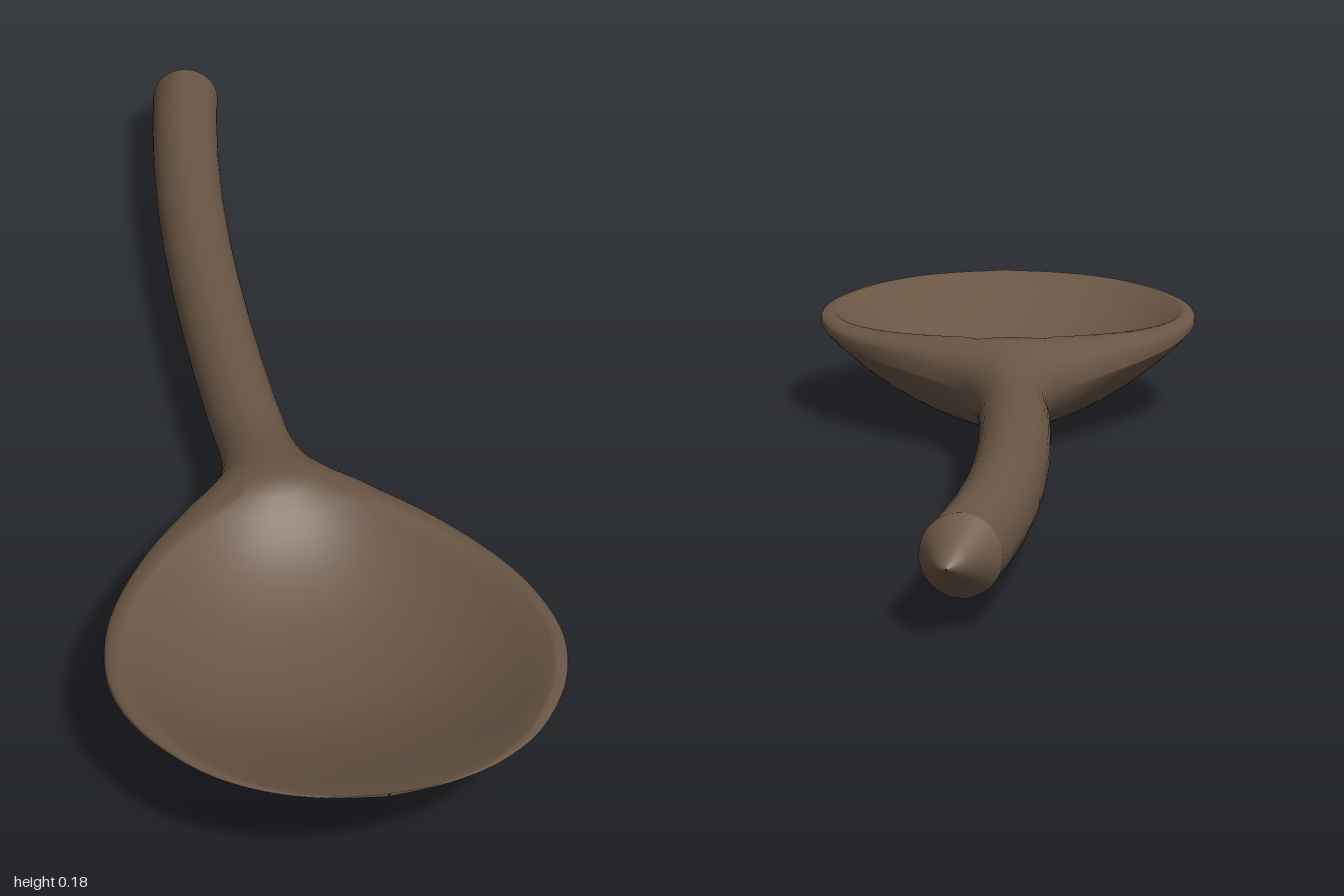
import * as THREE from 'three';

// Stations from handle to bowl front: z, half width, top y, bottom y, dish depth
const BODY = [
  [-0.92, 0.053, 0.152, 0.042, 0],
  [-0.45, 0.053, 0.152, 0.042, 0],
  [0.00, 0.053, 0.152, 0.042, 0],
  [0.12, 0.055, 0.153, 0.042, 0],
  [0.20, 0.071, 0.164, 0.038, 0],
  [0.25, 0.101, 0.172, 0.033, 0],
  [0.30, 0.143, 0.175, 0.026, 0],
  [0.40, 0.217, 0.173, 0.012, 0.065],
  [0.50, 0.272, 0.171, 0.005, 0.102],
  [0.60, 0.303, 0.170, 0.007, 0.115],
  [0.70, 0.309, 0.171, 0.026, 0.108],
  [0.80, 0.284, 0.173, 0.063, 0.080],
  [0.90, 0.224, 0.176, 0.118, 0.040],
  [0.96, 0.152, 0.178, 0.152, 0.014],
  [0.99, 0.078, 0.179, 0.169, 0.003],
  [1.00, 0.001, 0.180, 0.175, 0],
];

// Pointed handle end
const TIP = [
  [-1.00, 0.001, 0.098, 0.096, 0],
  [-0.992, 0.014, 0.106, 0.088, 0],
  [-0.97, 0.027, 0.121, 0.073, 0],
  BODY[0],
];

// Smooth in-between stations
function refine(rows, steps) {
  const out = [];
  for (let i = 0; i < rows.length - 1; i++) {
    const a = rows[Math.max(i - 1, 0)], b = rows[i], c = rows[i + 1], d = rows[Math.min(i + 2, rows.length - 1)];
    for (let s = 0; s < steps; s++) {
      const t = s / steps;
      out.push(b.map((v, k) => v + 0.5 * t * (c[k] - a[k] +
        t * (2 * a[k] - 5 * v + 4 * c[k] - d[k] + t * (3 * (v - c[k]) + d[k] - a[k])))));
    }
  }
  out.push(rows[rows.length - 1]);
  return out;
}

// One closed section: rim, dish, rim, underside
function section([z, w, top, bottom, depth]) {
  const RIM = 6, DISH = 20, UNDER = 28, pts = [];
  // the handle bends sideways toward its end
  const bend = Math.max(0, (0.1 - z) / 1.02);
  const cx = 0.08 * bend ** 2.6 - 0.002 * Math.min(1, bend * 10);
  const tilt = z < -0.99 ? 0 : 0.2 * bend ** 1.6;
  // the widest line climbs toward the bowl front
  const edge = 0.097 + 0.08 * Math.max(0, (z - 0.1) / 0.9);
  // round handle section turning into a wide bowl section
  const bowl = THREE.MathUtils.smoothstep(z, 0.13, 0.4);
  // the dish starts as a rounded tip behind the bowl
  const back = THREE.MathUtils.clamp((z - 0.3) / 0.7, 0, 1);
  const wi = w * Math.max(0.4, 0.93 * Math.sqrt(1 - (1 - back) ** 6));
  const inner = Math.acos(wi / w);

  const add = (x, y) => pts.push([cx + x, y, z + tilt * x]);
  const upper = (x) => {
    const s = Math.sqrt(Math.max(0, 1 - (x / w) ** 2));
    const sink = Math.max(0, depth) * Math.max(0, 1 - Math.abs(x / wi) ** 2.2);
    add(x, edge + (top - edge) * s ** (1 - 0.5 * bowl) - sink);
  };
  for (let i = 0; i < RIM; i++) upper(w * Math.cos(inner * i / RIM));
  for (let i = 0; i <= DISH; i++) upper(wi * (1 - 2 * i / DISH));
  for (let i = RIM - 1; i >= 0; i--) upper(-w * Math.cos(inner * i / RIM));
  for (let i = 1; i < UNDER; i++) {
    const a = Math.PI * i / UNDER;
    add(-w * Math.cos(a), edge - (edge - bottom) * Math.sin(a) ** (1 + 0.86 * bowl));
  }
  return pts;
}

// Skin a run of sections
function loft(rows) {
  const rings = rows.map(section), n = rings[0].length, index = [];
  for (let i = 0; i < rings.length - 1; i++) {
    for (let j = 0; j < n; j++) {
      const a = i * n + j, b = i * n + (j + 1) % n;
      index.push(a, b, b + n, a, b + n, a + n);
    }
  }
  const geo = new THREE.BufferGeometry();
  geo.setAttribute('position', new THREE.Float32BufferAttribute(rings.flat(2), 3));
  geo.setIndex(index);
  geo.computeVertexNormals();
  return geo;
}

export function createModel() {
  const wood = new THREE.MeshStandardMaterial({ color: 0x6a5645 });
  wood.name = 'dark wood';
  const group = new THREE.Group();
  group.name = 'spoon';

  const body = new THREE.Mesh(loft(refine(BODY, 4)), wood);
  body.name = 'bowlAndHandle';
  const tip = new THREE.Mesh(loft(TIP), wood);
  tip.name = 'handleTip';
  group.add(body, tip);
  return group;
}
